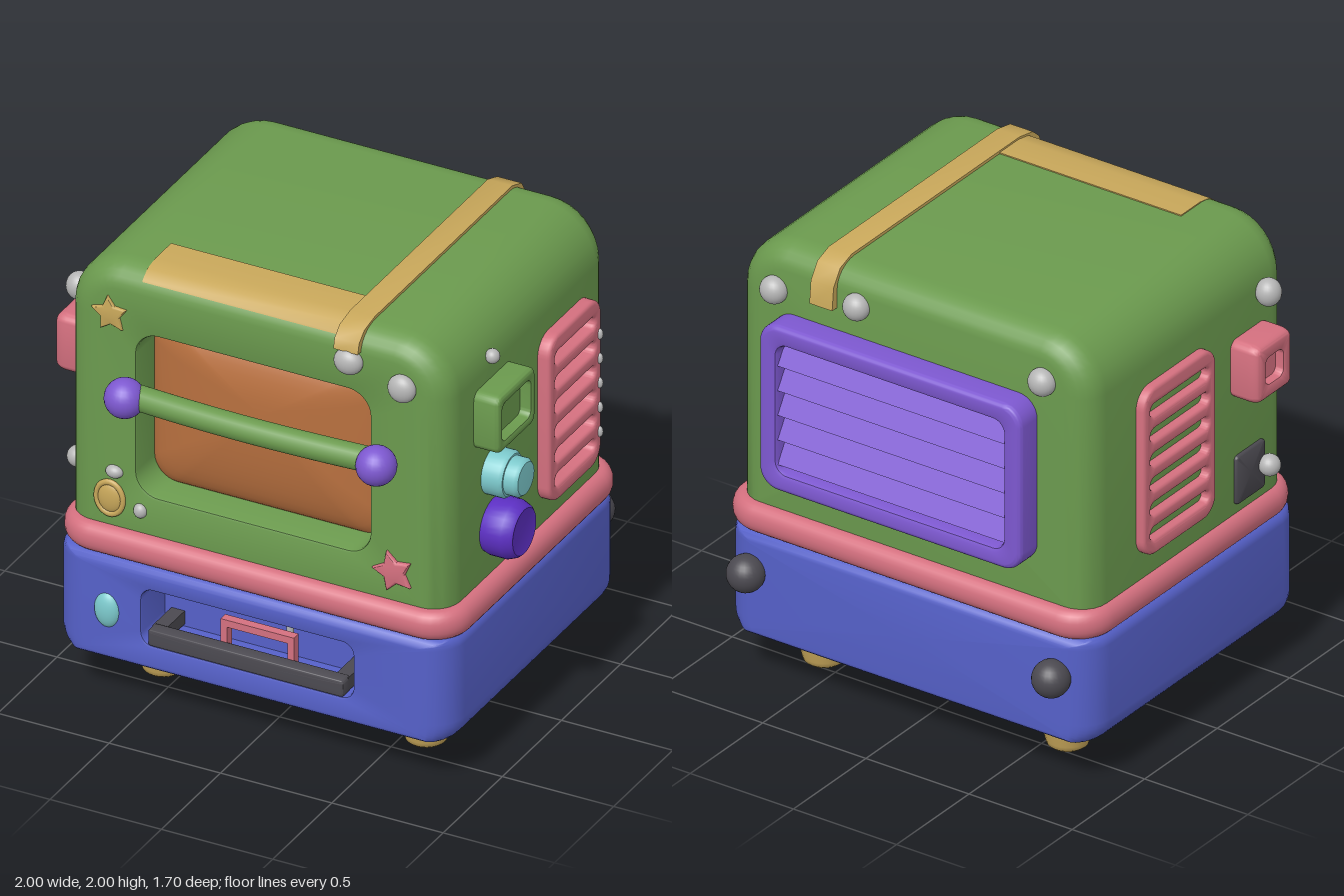
import * as THREE from 'three';
import { toCreasedNormals } from 'three/addons/utils/BufferGeometryUtils.js';

const mat = (name, color) => Object.assign(new THREE.MeshStandardMaterial({ color }), { name });
const M = {
  green: mat('leaf green', 0x6b9a4e), blue: mat('base blue', 0x5560c8), pink: mat('rose pink', 0xd4707f),
  yellow: mat('mustard', 0xc8a75a), brown: mat('oven brown', 0xb8703f), purple: mat('violet', 0x7d58d0),
  deep: mat('deep violet', 0x5c2fc2), silver: mat('silver', 0xb6b6b6), dark: mat('charcoal', 0x4b4950),
  teal: mat('aqua', 0x7cc9cc),
};
const HALF = Math.PI / 2;

// Rounded rectangle loop, counter-clockwise; b = [x0, x1, y0, y1, topRadius, bottomRadius]
function loop([x0, x1, y0, y1, rt, rb], z, ix = 0, iy = ix) {
  const pts = [], n = 8;
  x0 += ix; x1 -= ix; y0 += iy; y1 -= iy;
  [[x1, y0, -1, 1, rb, 3], [x1, y1, -1, -1, rt, 0], [x0, y1, 1, -1, rt, 1], [x0, y0, 1, 1, rb, 2]]
    .forEach(([cx, cy, sx, sy, r, q]) => {
      const rx = Math.max(r - ix, 0.01), ry = Math.max(r - iy, 0.01);
      for (let i = 0; i <= n; i++) {
        const a = (q + i / n) * HALF;
        pts.push([cx + sx * rx + Math.cos(a) * rx, cy + sy * ry + Math.sin(a) * ry, z]);
      }
    });
  return pts;
}

// Skin a list of loops and close both ends
function loft(rows) {
  const n = rows[0].length, pos = rows.flat(2), idx = [];
  for (let i = 0; i < rows.length - 1; i++) for (let j = 0; j < n; j++) {
    const k = (j + 1) % n, a = i * n + j, b = i * n + k;
    idx.push(a, b, b + n, a, b + n, a + n);
  }
  [0, rows.length - 1].forEach((r, e) => {
    const c = pos.length / 3;
    pos.push(...[0, 1, 2].map(d => rows[r].reduce((s, p) => s + p[d], 0) / n));
    for (let j = 0; j < n; j++) {
      const a = r * n + j, b = r * n + (j + 1) % n;
      idx.push(c, ...(e ? [a, b] : [b, a]));
    }
  });
  const g = new THREE.BufferGeometry();
  g.setAttribute('position', new THREE.Float32BufferAttribute(pos, 3));
  g.setIndex(idx);
  return toCreasedNormals(g, 0.7);
}

// Soft-edged block along z, with an optional recess in its front
function block(b, z0, z1, ix, iy, dz, hole, depth = 0, lip = 0.01) {
  const rows = [], n = 6;
  for (let i = 0; i <= n; i++) {
    const a = i / n * HALF;
    rows.push(loop(b, z0 + dz * (1 - Math.sin(a)), ix * (1 - Math.cos(a)), iy * (1 - Math.cos(a))));
  }
  rows.reverse();
  // both ends are eased inwards
  const back = rows.map((_, i) => {
    const a = i / n * HALF;
    return loop(b, z0 + dz * (1 - Math.cos(a)), ix * (1 - Math.sin(a)), iy * (1 - Math.sin(a)));
  });
  const front = rows.map((_, i) => {
    const a = i / n * HALF;
    return loop(b, z1 - dz * (1 - Math.sin(a)), ix * (1 - Math.cos(a)), iy * (1 - Math.cos(a)));
  });
  const inner = hole ? [loop(hole, z1, -lip), loop(hole, z1 - lip * 0.3, -lip * 0.3),
    loop(hole, z1 - lip), loop(hole, z1 - depth)] : [];
  return loft([...back, ...front, ...inner]);
}
const centred = (w, h, r) => [-w / 2, w / 2, -h / 2, h / 2, r, r];

// Flat outline extruded along z with a small rounded edge
function plate(shape, depth, bevel) {
  const g = new THREE.ExtrudeGeometry(shape, {
    depth, bevelEnabled: bevel > 0, bevelSize: bevel, bevelThickness: bevel, bevelSegments: 3, curveSegments: 8,
  });
  return toCreasedNormals(g, 0.7);
}
const outline = (b, Type = THREE.Shape) => new Type(loop(b, 0).map(p => new THREE.Vector2(p[0], p[1])));

function starShape(r) {
  const pts = [];
  for (let i = 0; i < 10; i++) {
    const a = HALF + i * Math.PI / 5 + 0.12, d = i % 2 ? r * 0.48 : r;
    pts.push(new THREE.Vector2(Math.cos(a) * d, Math.sin(a) * d));
  }
  return new THREE.Shape(pts);
}

export function createModel() {
  const root = new THREE.Group();
  const add = (name, geo, m, p = [0, 0, 0], rot = [0, 0, 0], s = [1, 1, 1]) => {
    const mesh = new THREE.Mesh(geo, m);
    mesh.name = name;
    mesh.position.set(...p); mesh.rotation.set(...rot); mesh.scale.set(...s);
    root.add(mesh);
    return mesh;
  };
  const ball = (name, m, p, r, s) => add(name, new THREE.SphereGeometry(r, 24, 16), m, p, [0, 0, 0], s);

  // Main housing with window opening, base with drawer recess, and the band between them
  const win = [-0.55, 0.5, 0.97, 1.71, 0.1, 0.1];
  add('housing', block([-0.87, 0.845, 0.7, 1.985, 0.24, 0.06], -0.7, 0.68, 0.12, 0.1, 0.12, win, 0.2, 0.012), M.green);
  add('base', block([-0.905, 0.88, 0.18, 0.68, 0.05, 0.11], -0.745, 0.73, 0.14, 0.05, 0.14,
    [-0.5, 0.45, 0.32, 0.57, 0.05, 0.05], 0.2, 0.012), M.blue);
  add('band', block([-0.91, 0.9, -0.735, 0.755, 0.17, 0.17], 0.665, 0.795, 0.05, 0.05, 0.06), M.pink,
    [0, 0, 0], [-HALF, 0, 0]);

  // Bulging window panel
  const panel = [];
  for (let i = 0; i <= 10; i++) {
    const a = i / 10 * 1.45, s = Math.cos(a);
    const f = (v, c) => c + (v - c) * s;
    panel.push(loop([f(-0.56, -0.02), f(0.51, -0.02), f(0.96, 1.45), f(1.72, 1.45), 0.11 * s, 0.11 * s],
      0.5 + 0.12 * Math.sin(a)));
  }
  add('windowPanel', loft(panel), M.brown);

  // Door handle
  const bar = new THREE.CatmullRomCurve3([[-0.55, 0.735], [-0.3, 0.75], [0, 0.757], [0.3, 0.75], [0.575, 0.735]]
    .map(([x, z]) => new THREE.Vector3(x, 1.45, z)));
  add('handleBar', new THREE.TubeGeometry(bar, 24, 0.054, 16), M.green);
  for (const x of [-0.555, 0.575]) ball('handleKnob', M.purple, [x, 1.45, 0.765], 0.084);

  // Drawer pull, little arch and tap in the recess
  add('drawerBar', block([-0.47, 0.41, 0.318, 0.395, 0.015, 0.015], 0.67, 0.735, 0.012, 0.012, 0.012), M.dark);
  for (const x of [-0.44, 0.38]) add('drawerArm', new THREE.BoxGeometry(0.06, 0.06, 0.16), M.dark, [x, 0.36, 0.61]);
  for (const x of [-0.155, 0.145]) add('archLeg', new THREE.BoxGeometry(0.03, 0.13, 0.04), M.pink, [x, 0.43, 0.66]);
  add('archTop', new THREE.BoxGeometry(0.33, 0.032, 0.04), M.pink, [-0.005, 0.482, 0.66]);
  add('tapStem', new THREE.CylinderGeometry(0.015, 0.015, 0.1, 12), M.silver, [0.1, 0.5, 0.6]);
  add('tapTop', new THREE.BoxGeometry(0.08, 0.02, 0.03), M.silver, [0.1, 0.55, 0.6]);

  // Feet
  for (const x of [-0.585, 0.595]) for (const z of [0.38, -0.44]) {
    const profile = [[0, 0], [0.07, 0], [0.085, 0.012], [0.09, 0.03], [0.122, 0.17], [0.125, 0.2], [0, 0.2]];
    add('foot', toCreasedNormals(new THREE.LatheGeometry(profile.map(p => new THREE.Vector2(...p)), 24), 0.7),
      M.yellow, [x, 0, z]);
  }

  // Mustard trim and strap over the top, drawn in profile and extruded across x
  const trim = (name, pts, x0, x1) => add(name, plate(new THREE.Shape(pts.map(([z, y]) => new THREE.Vector2(-z, y))),
    x1 - x0, 0), M.yellow, [x0, 0, 0], [0, HALF, 0]);
  trim('strap', [[0.64, 1.895], [0.705, 1.895], [0.695, 1.94], [0.65, 1.98], [0.56, 1.998], [-0.6, 1.998],
    [-0.68, 1.97], [-0.725, 1.9], [-0.735, 1.8], [-0.66, 1.8]], 0.35, 0.46);
  trim('frontTrim', [[0.6, 1.905], [0.672, 1.905], [0.66, 1.945], [0.62, 1.977], [0.55, 1.99], [0.42, 1.99],
    [0.42, 1.93]], -0.53, 0.352);

  // Side vents with six slots
  const vent = (name, w, x, z, rotY) => {
    const s = outline(centred(w - 0.03, 0.73, 0.07));
    for (let i = 0; i < 6; i++) {
      const y = 0.275 - i * 0.112, h = w / 2 - 0.035;
      s.holes.push(outline([-h, h, y - 0.043, y + 0.043, 0.042, 0.042], THREE.Path));
    }
    add(name, plate(s, 0.06, 0.015), M.pink, [x, 1.28, z], [0, rotY, 0]);
  };
  vent('rightVent', 0.44, 0.825, -0.31, HALF);
  vent('leftVent', 0.5, -0.835, -0.125, -HALF);
  for (let i = 0; i < 5; i++) ball('ventStud', M.silver, [0.9, 1.485 - i * 0.112, -0.51], 0.022, [0.7, 1.1, 0.6]);

  // Controls on the +x side
  add('switchFrame', block(centred(0.32, 0.26, 0.04), 0, 0.135, 0.02, 0.02, 0.02, centred(0.24, 0.17, 0.03), 0.05),
    M.green, [0.82, 1.56, 0.29], [0, HALF, 0]);
  const knob = (name, m, y, z, pts) => add(name,
    toCreasedNormals(new THREE.LatheGeometry(pts.map(p => new THREE.Vector2(...p)), 32), 0.7),
    m, [0.83, y, z], [0, 0, -HALF]);
  knob('smallKnob', M.teal, 1.26, 0.29, [[0, 0], [0.1, 0], [0.1, 0.09], [0.09, 0.105], [0.082, 0.105], [0.082, 0.15],
    [0.07, 0.165], [0, 0.167]]);
  knob('largeKnob', M.deep, 1.01, 0.285, [[0, 0], [0.112, 0], [0.124, 0.04], [0.124, 0.11], [0.11, 0.145],
    [0.1, 0.155], [0.085, 0.152], [0, 0.15]]);

  // Box and dark hatch on the -x side
  add('sideBox', block(centred(0.25, 0.26, 0.04), 0, 0.16, 0.025, 0.025, 0.05, centred(0.12, 0.12, 0.03), 0.04),
    M.pink, [-0.84, 1.46, 0.4], [0, -HALF, 0]);
  add('hatch', block(centred(0.2, 0.22, 0.02), 0, 0.04, 0.01, 0.01, 0.01), M.dark, [-0.845, 0.945, 0.4], [0, -HALF, 0]);

  // Rear grille with slanted slats
  add('grilleFrame', block(centred(1.27, 0.75, 0.09), 0, 0.14, 0.025, 0.025, 0.025, centred(1.1, 0.58, 0.05), 0.07, 0.02),
    M.purple, [0.015, 1.325, -0.68], [0, Math.PI, 0]);
  for (let i = 0; i < 5; i++)
    add('slat', new THREE.BoxGeometry(1.11, 0.1, 0.02), M.purple, [0.015, 1.55 - i * 0.112, -0.77], [0.55, 0, 0]);

  // Bumpers at the rear corners
  for (const x of [-0.74, 0.74]) ball('bumper', M.dark, [x, 0.5, -0.775], 0.08);

  // Silver studs: position, radius, scale
  [[[0.41, 1.845, 0.69], 0.063, [1, 0.9, 0.7]], [[0.65, 1.785, 0.69], 0.061, [1, 1, 0.7]],
    [[-0.645, 1.045, 0.68], 0.038, [1, 0.75, 0.8]], [[-0.53, 0.895, 0.68], 0.032, [0.9, 1, 0.8]],
    [[-0.905, 1.73, 0.49], 0.06, [0.9, 1, 0.9]], [[-0.91, 0.945, 0.49], 0.046, [1, 1, 1]],
    [[0.855, 1.795, 0.31], 0.031, [1, 1, 1]], [[0.65, 1.79, -0.71], 0.06, [1, 1, 0.9]],
    [[0.25, 1.84, -0.71], 0.058, [1, 1, 0.9]], [[-0.65, 1.79, -0.71], 0.06, [1, 1, 0.9]],
  ].forEach(([p, r, s]) => ball('stud', M.silver, p, r, s));

  // Front decorations
  add('yellowStar', plate(starShape(0.07), 0.012, 0.01), M.yellow, [-0.665, 1.765, 0.672]);
  add('pinkStar', plate(starShape(0.078), 0.015, 0.012), M.pink, [0.61, 0.93, 0.672], [0, 0, 0.2]);
  add('medallion', new THREE.SphereGeometry(0.056, 24, 16), M.yellow, [-0.665, 0.92, 0.68], [0, 0, 0], [1, 1.2, 0.4]);
  add('medallionRim', new THREE.TorusGeometry(0.06, 0.011, 10, 32), M.yellow, [-0.665, 0.92, 0.685], [0, 0, 0], [1, 1.2, 1]);
  ball('baseLamp', M.teal, [-0.655, 0.43, 0.72], 0.08, [0.72, 1, 0.45]);
  return root;
}
